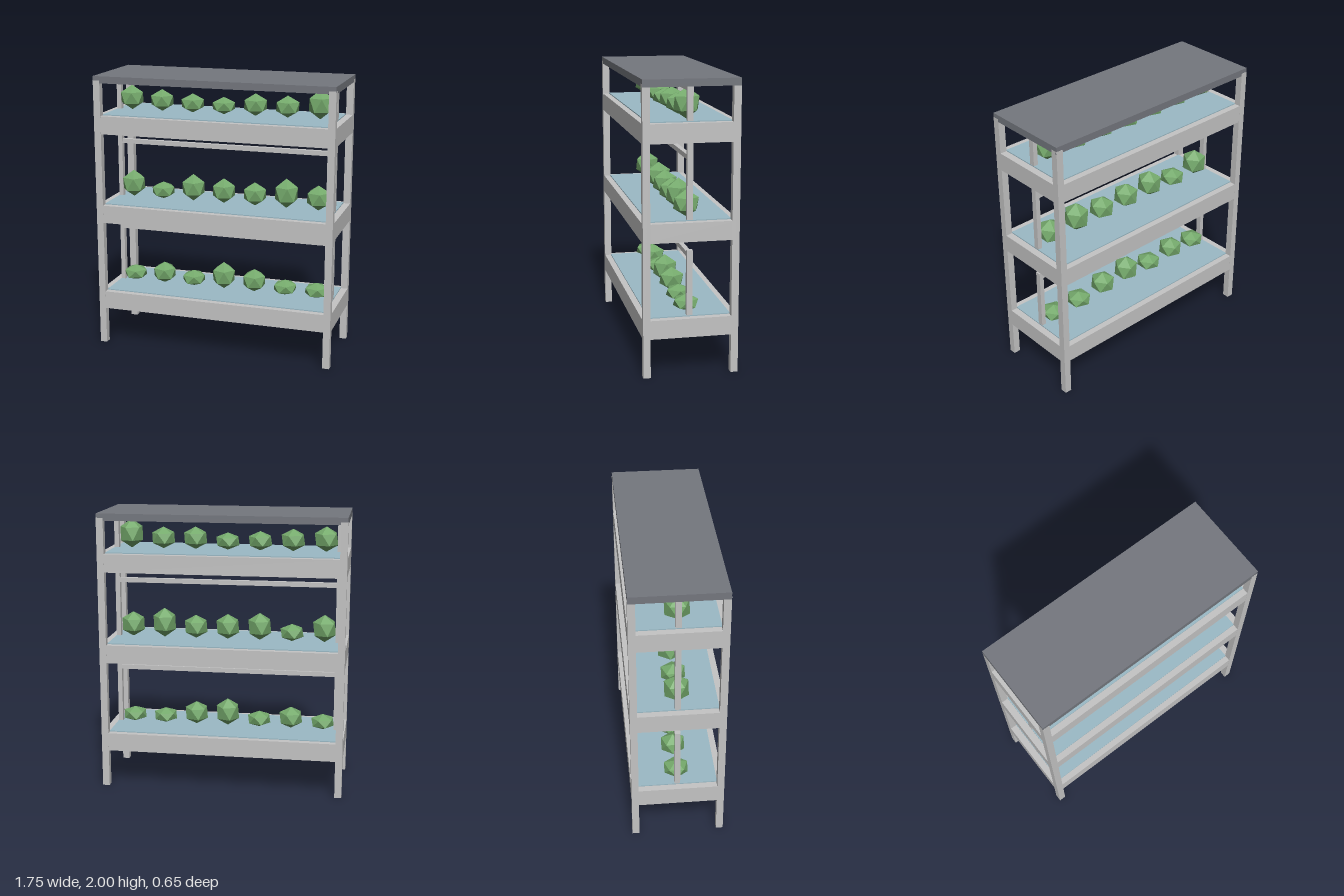
import * as THREE from 'three';

const W = 1.75, D = 0.65, LEG = 0.05;

export function createModel() {
  const model = new THREE.Group();
  model.name = 'plantRack';

  const mat = (name, color) => {
    const m = new THREE.MeshStandardMaterial({ color, flatShading: true });
    m.name = name;
    return m;
  };
  const frame = mat('light grey frame', 0xc4c4c4);
  const roofMat = mat('dark grey roof', 0x74777e);
  const waterMat = mat('pale blue water', 0x9bbac6);
  const leaf = mat('leaf green', 0x75aa6c);

  // Box given by its centre in x and z and its bottom and top in y
  const box = (parent, name, material, w, d, y0, y1, x = 0, z = 0) => {
    const mesh = new THREE.Mesh(new THREE.BoxGeometry(w, y1 - y0, d), material);
    mesh.position.set(x, (y0 + y1) / 2, z);
    mesh.name = name;
    parent.add(mesh);
  };

  // Roof and corner legs (legs stand a hair proud of the roof edge)
  box(model, 'roof', roofMat, W, D, 1.95, 2);
  for (const sx of [-1, 1]) {
    for (const sz of [-1, 1]) {
      box(model, 'leg', frame, LEG, LEG, 0, 1.97, sx * (W - LEG) / 2, sz * ((D - LEG) / 2 + 0.001));
    }
  }

  // Faceted plant with one vertex pointing up
  const plantGeo = new THREE.IcosahedronGeometry(1, 0);
  plantGeo.rotateX(-Math.atan((1 + Math.sqrt(5)) / 2));
  plantGeo.rotateY(Math.PI / 2);

  // Tray top, post top, lamp bar top and plant heights of each tier
  const tiers = [
    { y: 0.4, post: 0.857, bar: 0.842, plants: [0.116, 0.161, 0.119, 0.204, 0.172, 0.114, 0.114] },
    { y: 1.058, post: 1.586, bar: 1.498, plants: [0.201, 0.127, 0.201, 0.185, 0.172, 0.217, 0.183] },
    { y: 1.715, post: 1.95, bar: 1.949, plants: [0.18, 0.159, 0.138, 0.124, 0.161, 0.156, 0.21] },
  ];

  tiers.forEach(({ y, post, bar, plants }, i) => {
    const tier = new THREE.Group();
    tier.name = 'tier' + (i + 1);
    model.add(tier);

    box(tier, 'tray', frame, W, D, y - 0.13, y);
    box(tier, 'water', waterMat, W - 2 * LEG, D - 0.09, y - 0.001, y + 0.007);

    // End posts carrying the lamp bar
    for (const sx of [-1, 1]) box(tier, 'post', frame, 0.033, 0.04, y, post, sx * 0.808);
    box(tier, 'lampBar', frame, 1.59, 0.034, bar - 0.033, bar);

    // Row of plants
    plants.forEach((h, k) => {
      const plant = new THREE.Mesh(plantGeo, leaf);
      plant.name = 'plant';
      plant.scale.set(0.094, h / 2, 0.097);
      plant.position.set(-0.711 + k * 0.235, y + 0.005 + h / 2, 0);
      tier.add(plant);
    });
  });

  return model;
}
